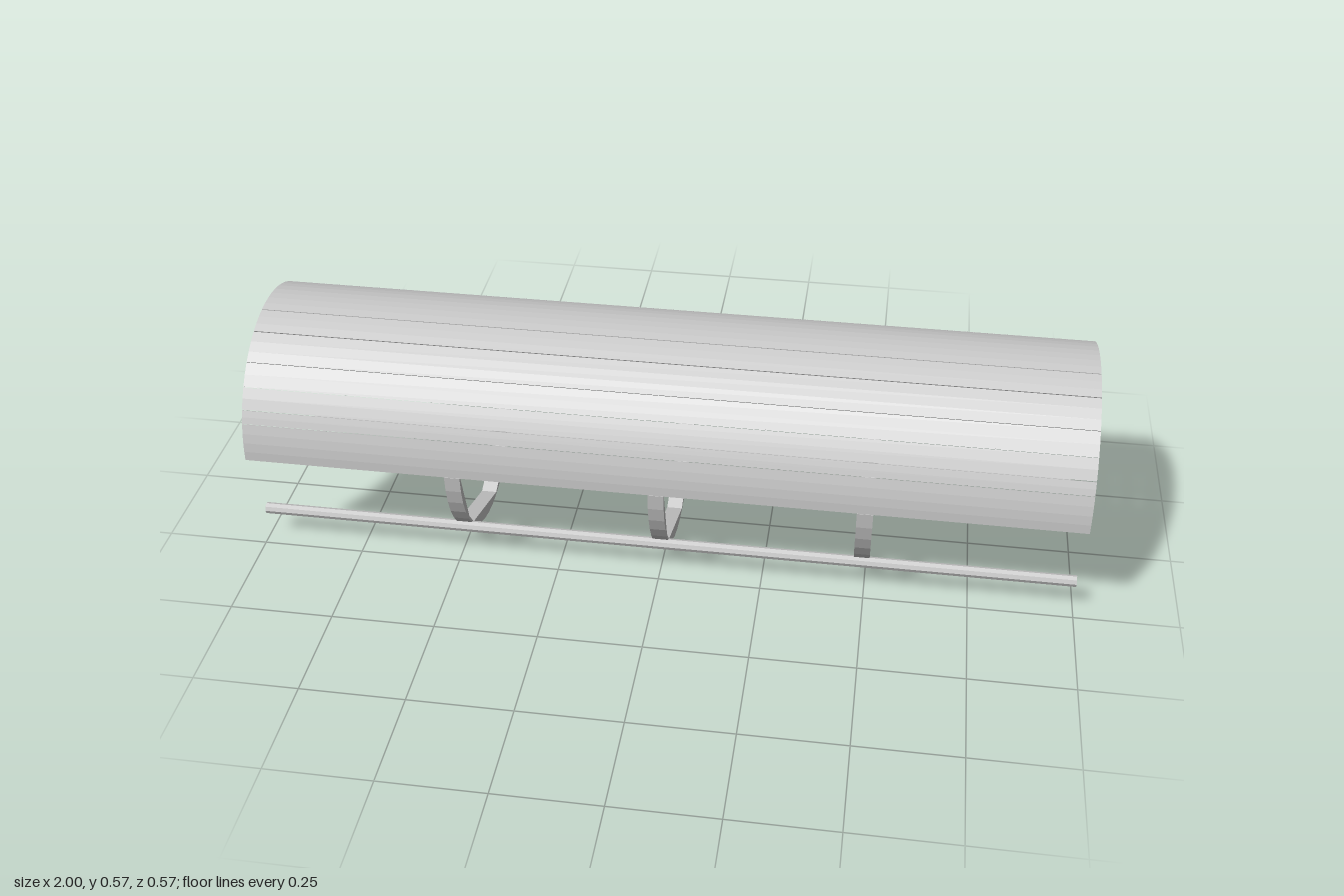
import * as THREE from 'three';

const R = 0.286, CY = 0.286;
const material = new THREE.MeshStandardMaterial({ color: 0xcccccc, flatShading: true, side: THREE.DoubleSide });

// Point on a circle about the long axis; 0 degrees is the front, 90 the top
const polar = (deg, r) => {
  const a = THREE.MathUtils.degToRad(deg);
  return new THREE.Vector2(r * Math.cos(a), CY + r * Math.sin(a));
};

// Prism along x from a (z, y) outline
function prism(name, points, length, x = 0) {
  const geometry = new THREE.ExtrudeGeometry(new THREE.Shape(points), { depth: length, bevelEnabled: false });
  geometry.translate(0, 0, -length / 2).rotateY(-Math.PI / 2).translate(x, 0, 0);
  const mesh = new THREE.Mesh(geometry, material);
  mesh.name = name;
  return mesh;
}

// Outline with a curved outer face and a straight inner face
function segment(from, to, thickness, step) {
  const n = Math.max(2, Math.round(Math.abs(to - from) / step));
  const points = [];
  for (let i = 0; i <= n; i++) points.push(polar(from + (to - from) * i / n, R));
  points.push(polar(to, R - thickness), polar(from, R - thickness));
  return points;
}

function rod(name, z, y, radius = 0.014) {
  const mesh = new THREE.Mesh(new THREE.CylinderGeometry(radius, radius, 2, 8), material);
  mesh.rotation.z = Math.PI / 2;
  mesh.position.set(0, y, z);
  mesh.name = name;
  return mesh;
}

export function createModel() {
  const model = new THREE.Group();
  model.name = 'slattedTube';

  // Upper shell: long slats with hairline gaps
  const shell = new THREE.Group();
  shell.name = 'upperShell';
  const joints = [-1, 18.5, 25.5, 36.5, 48.5, 65, 79, 104, 118, 135, 149, 165, 181];
  for (let i = 0; i < joints.length - 1; i++) {
    shell.add(prism('slat', segment(joints[i] + 0.2, joints[i + 1] - 0.2, 0.004, 5), 2));
  }
  model.add(shell);

  // Lower ribs: three hoops, each of end-to-end segments
  const ribSpans = [[-1, -35], [-35, -45], [-46, -96], [-96, -128], [-129, -144], [-144, -179]];
  for (const x of [-0.49, 0, 0.49]) {
    const rib = new THREE.Group();
    rib.name = 'lowerRib';
    for (const [from, to] of ribSpans) {
      rib.add(prism('ribSegment', segment(from, to, 0.006, 9), 0.038, x));
    }
    // Block tying the rib to the rear rail
    rib.add(prism('railBlock', [[-0.175, 0.07], [-0.2, 0.075], [-0.2, 0.1], [-0.175, 0.1]]
      .map(([z, y]) => new THREE.Vector2(z, y)), 0.038, x));
    model.add(rib);
  }

  // Rails running the full length
  model.add(
    rod('lowerFrontRail', 0.21, 0.08),
    rod('lowerBackRail', -0.19, 0.095),
    rod('upperBackRail', -0.189, 0.477),
    prism('upperFrontRail', [[0.23, 0.456], [0.19, 0.465], [0.176, 0.481], [0.178, 0.49], [0.188, 0.499], [0.2, 0.488]]
      .map(([z, y]) => new THREE.Vector2(z, y)), 2),
  );
  return model;
}
